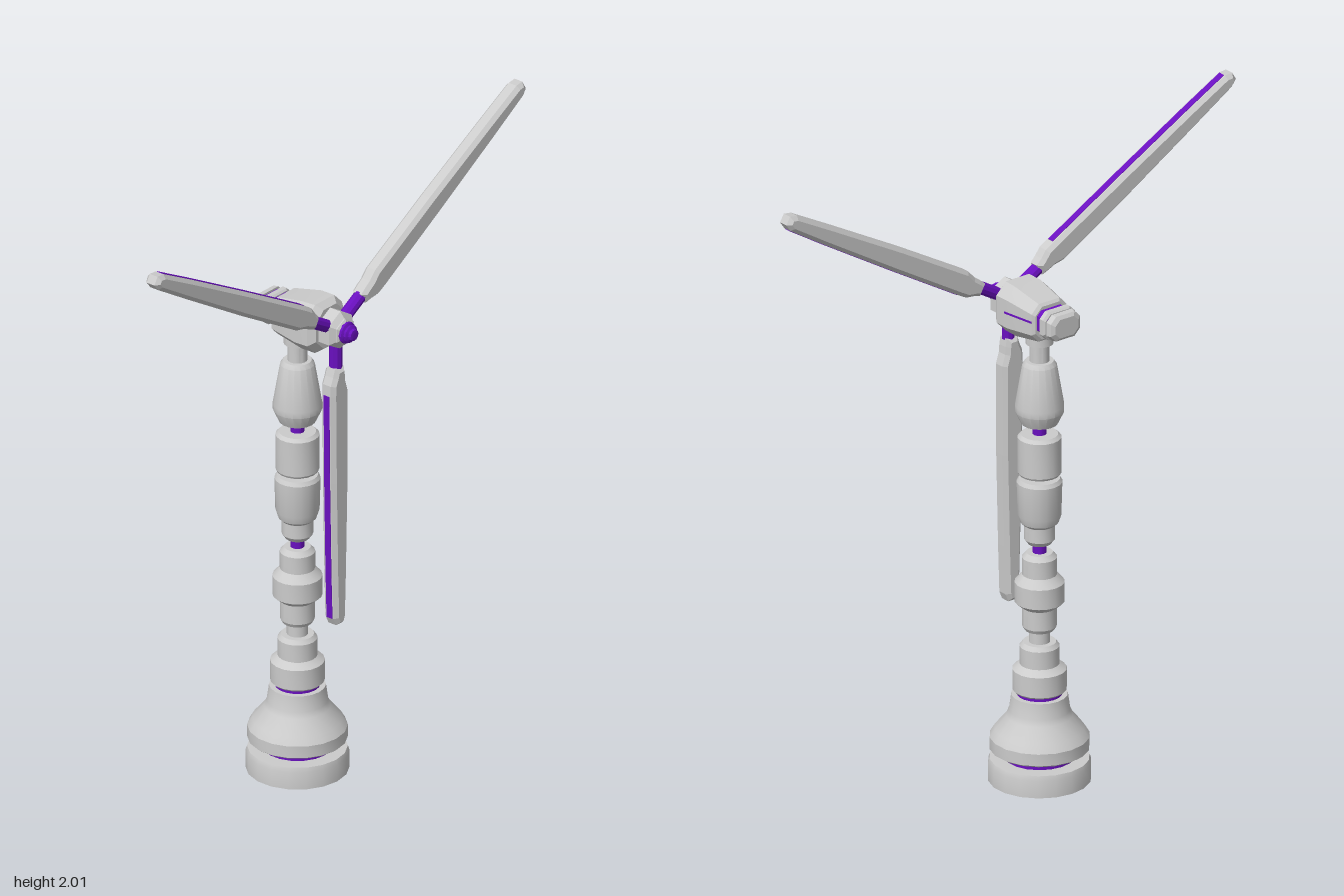
import * as THREE from 'three';
import { toCreasedNormals } from 'three/addons/utils/BufferGeometryUtils.js';

const grey = new THREE.MeshStandardMaterial({ color: 0xcccccc });
const flatGrey = new THREE.MeshStandardMaterial({ color: 0xcccccc, flatShading: true });
const purple = new THREE.MeshStandardMaterial({ color: 0x6a10c0 });

const TOWER_Z = -0.035, HUB_Y = 1.51, HUB_Z = 0.114;

function add(parent, name, geo, mat) {
  const mesh = new THREE.Mesh(geo, mat);
  mesh.name = name;
  parent.add(mesh);
  return mesh;
}

// Closed turned solid from [radius, height] pairs, bottom to top
function turned(pairs, sides = 18) {
  const pts = [[0, pairs[0][1]], ...pairs, [0, pairs[pairs.length - 1][1]]];
  const geo = new THREE.LatheGeometry(pts.map(([r, y]) => new THREE.Vector2(r, y)), sides);
  return toCreasedNormals(geo, 0.5);
}

// Capped body through chamfered rectangles [z, halfWidth, yLow, yHigh, chamfer], back to front
function loft(sections) {
  const pos = [], idx = [], n = 8;
  for (const [z, w, lo, hi, c] of sections) {
    pos.push(w, lo + c, z, w, hi - c, z, w - c, hi, z, c - w, hi, z,
      -w, hi - c, z, -w, lo + c, z, c - w, lo, z, w - c, lo, z);
  }
  const last = (sections.length - 1) * n;
  for (let s = 0; s < last; s += n) {
    for (let j = 0; j < n; j++) {
      const k = (j + 1) % n;
      idx.push(s + j, s + k, s + n + k, s + j, s + n + k, s + n + j);
    }
  }
  for (let j = 1; j < n - 1; j++) idx.push(0, j + 1, j, last, last + j, last + j + 1);
  const geo = new THREE.BufferGeometry();
  geo.setAttribute('position', new THREE.Float32BufferAttribute(pos, 3));
  geo.setIndex(idx);
  return toCreasedNormals(geo, 0.4);
}

function createTower() {
  const tower = new THREE.Group();
  tower.name = 'tower';
  tower.position.z = TOWER_Z;
  const segments = {
    basePlate: [[0.155, 0], [0.155, 0.055], [0.15, 0.07]],
    baseBell: [[0.14, 0.095], [0.15, 0.102], [0.15, 0.14], [0.135, 0.165], [0.1, 0.207], [0.092, 0.225], [0.085, 0.275]],
    lowerCollar: [[0.076, 0.287], [0.082, 0.293], [0.082, 0.358], [0.06, 0.375], [0.06, 0.432], [0.05, 0.445]],
    lowerSegment: [[0.045, 0.485], [0.052, 0.497], [0.052, 0.558], [0.075, 0.577], [0.075, 0.64], [0.053, 0.665], [0.053, 0.72], [0.04, 0.735]],
    middleSegment: [[0.036, 0.765], [0.047, 0.78], [0.047, 0.825], [0.058, 0.835], [0.066, 0.86], [0.069, 0.965], [0.062, 0.977]],
    upperSegment: [[0.062, 0.99], [0.066, 0.997], [0.066, 1.11], [0.056, 1.12]],
    topSegment: [[0.055, 1.155], [0.074, 1.195], [0.074, 1.215], [0.052, 1.345], [0.043, 1.358]],
    yawBearing: [[0.03, 1.34], [0.03, 1.41], [0.042, 1.415], [0.042, 1.45]],
  };
  for (const [name, profile] of Object.entries(segments)) add(tower, name, turned(profile), grey);

  // Narrow joints between the segments: [radius, bottom, top]
  for (const [r, a, b] of [[0.032, 0.43, 0.5], [0.032, 0.96, 1]])
    add(tower, 'neck', turned([[r, a], [r, b]]), grey);
  for (const [r, a, b] of [[0.105, 0.06, 0.11], [0.068, 0.27, 0.295], [0.021, 0.72, 0.78], [0.021, 1.1, 1.17]])
    add(tower, 'glowJoint', turned([[r, a], [r, b]]), purple);
  return tower;
}

function createNacelle() {
  const nacelle = new THREE.Group();
  nacelle.name = 'nacelle';
  add(nacelle, 'housing', loft([
    [-0.088, 0.058, 1.452, 1.558, 0.025], [-0.08, 0.066, 1.444, 1.566, 0.027],
    [0.02, 0.08, 1.43, 1.588, 0.034], [0.07, 0.08, 1.43, 1.59, 0.036], [0.092, 0.065, 1.445, 1.575, 0.036],
  ]), grey);
  add(nacelle, 'rearJoint', loft([[-0.15, 0.048, 1.475, 1.545, 0.015], [-0.08, 0.052, 1.472, 1.548, 0.015]]), purple);
  add(nacelle, 'rearRing', loft([
    [-0.133, 0.056, 1.47, 1.55, 0.02], [-0.127, 0.061, 1.465, 1.555, 0.02],
    [-0.112, 0.061, 1.465, 1.555, 0.02], [-0.106, 0.055, 1.47, 1.55, 0.02],
  ]), grey);
  add(nacelle, 'rearCap', loft([
    [-0.166, 0.044, 1.48, 1.54, 0.018], [-0.158, 0.055, 1.47, 1.55, 0.02], [-0.141, 0.058, 1.468, 1.552, 0.02],
  ]), grey);
  // Thin side seams
  for (const side of [1, -1]) {
    const seam = add(nacelle, 'sideSeam', new THREE.BoxGeometry(0.004, 0.006, 0.11), purple);
    seam.position.set(side * 0.0735, 1.513, -0.025);
    seam.rotation.y = side * 0.139;
  }
  return nacelle;
}

// Outline across the blade: [distance from hub, reach on the trailing side, reach on the leading side]
const OUTLINE = [[0.125, 0.022, 0.018], [0.15, 0.03, 0.022], [0.175, 0.041, 0.024], [0.21, 0.042, 0.035],
  [0.5, 0.039, 0.034], [0.8, 0.033, 0.027], [0.955, 0.028, 0.022], [0.98, 0.016, 0.012]];

function createBlade() {
  const blade = new THREE.Group();
  blade.name = 'blade';
  const bevel = 0.012;
  const shape = new THREE.Shape([
    ...OUTLINE.map(([r, t]) => new THREE.Vector2(t, r)),
    ...OUTLINE.slice().reverse().map(([r, , l]) => new THREE.Vector2(-l, r)),
  ]);
  const body = new THREE.ExtrudeGeometry(shape, {
    depth: 0.03, bevelEnabled: true, bevelSize: bevel, bevelOffset: -bevel, bevelThickness: bevel, bevelSegments: 1,
  });
  body.translate(0, 0, -0.015);
  add(blade, 'bladeBody', body, flatGrey);

  // Coloured strip along the trailing edge
  const edge = OUTLINE.slice(3, 7);
  const stripShape = new THREE.Shape([
    ...edge.map(([r, t]) => new THREE.Vector2(t + 0.0015, r)),
    ...edge.slice().reverse().map(([r, t]) => new THREE.Vector2(t - 0.008, r)),
  ]);
  const strip = new THREE.ExtrudeGeometry(stripShape, { depth: 0.022, bevelEnabled: false });
  strip.translate(0, 0, -0.011);
  add(blade, 'trailingStrip', strip, purple);

  add(blade, 'bladeStem', turned([[0.02, 0.04], [0.02, 0.14]], 10), purple);
  return blade;
}

function createRotor() {
  const rotor = new THREE.Group();
  rotor.name = 'rotor';
  rotor.position.set(0, HUB_Y, HUB_Z);
  // Turned parts point along +z
  const hub = add(rotor, 'hub', turned([[0.05, -0.035], [0.062, -0.022], [0.062, 0.018], [0.04, 0.036]], 6), flatGrey);
  const tip = add(rotor, 'noseTip', turned([[0.034, 0.03], [0.034, 0.048], [0.026, 0.052],
    [0.028, 0.06], [0.02, 0.065], [0.018, 0.073], [0.008, 0.076]], 12), purple);
  const ring = add(rotor, 'noseRing', turned([[0.044, 0.026], [0.044, 0.036], [0.036, 0.041]], 6), flatGrey);
  for (const part of [hub, tip, ring]) part.rotation.x = Math.PI / 2;

  for (let i = 0; i < 3; i++) {
    const blade = createBlade();
    blade.rotation.z = Math.PI + i * Math.PI * 2 / 3;
    rotor.add(blade);
  }
  return rotor;
}

export function createModel() {
  const model = new THREE.Group();
  model.name = 'windTurbine';
  model.add(createTower(), createNacelle(), createRotor());
  return model;
}
